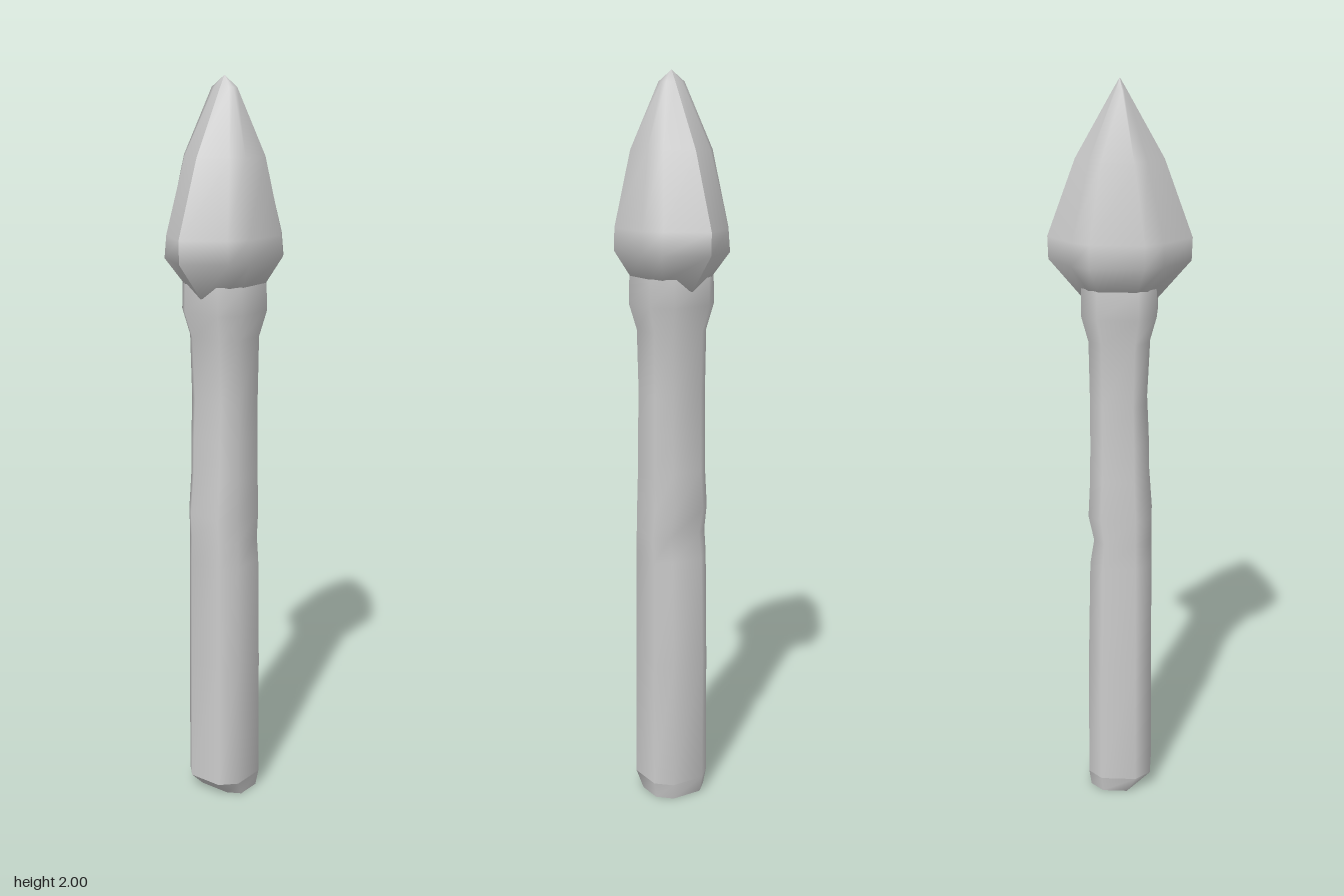
import * as THREE from 'three';

// Skin rows of points (bottom to top, each running +x -> +z -> -x) with smooth normals.
function loft(rows, closed) {
  const n = rows[0].length;
  const index = [];
  for (let i = 0; i < rows.length - 1; i++) {
    for (let j = 0; j < (closed ? n : n - 1); j++) {
      const k = (j + 1) % n;
      const a = i * n + j, b = i * n + k, c = a + n, d = b + n;
      index.push(a, c, b, b, c, d);
    }
  }
  const g = new THREE.BufferGeometry();
  g.setAttribute('position', new THREE.Float32BufferAttribute(rows.flat(2), 3));
  g.setIndex(index);
  g.computeVertexNormals();
  return g;
}

// Worn eight-sided section, a little square, with separate left and right extents.
function shaftRow([y, xNeg, xPos, z, zOff = 0]) {
  const corners = [[1, 0.55], [0.55, 1], [-0.55, 1], [-1, 0.55], [-1, -0.55], [-0.55, -1], [0.55, -1], [1, -0.55]];
  return corners.map(([u, v]) => [u * (u > 0 ? xPos : xNeg), y, v * z + zOff]);
}

// Half of the point's section: sharp edges on +-x, rounded front.
function headRow([y, edge, mx, mz, fx, fz, edgeY = y]) {
  return [[edge, edgeY, 0], [mx, y, mz], [fx, y, fz], [-fx, y, fz], [-mx, y, mz], [-edge, edgeY, 0]];
}

export function createModel() {
  const group = new THREE.Group();
  const material = new THREE.MeshStandardMaterial({ color: 0xcccccc });
  const add = (name, geometry, parent = group) => {
    const mesh = new THREE.Mesh(geometry, material);
    mesh.name = name;
    parent.add(mesh);
    return mesh;
  };

  // Shaft with uneven wear, flaring into a collar below the point
  const profile = [
    [0.045, 0.09, 0.086, 0.088],
    [0.4, 0.088, 0.085, 0.087],
    [0.7, 0.087, 0.079, 0.085],
    [0.77, 0.086, 0.068, 0.084],
    [0.84, 0.087, 0.083, 0.084, -0.002],
    [0.95, 0.079, 0.078, 0.081],
    [1.05, 0.077, 0.077, 0.081],
    [1.16, 0.072, 0.077, 0.08],
    [1.33, 0.08, 0.08, 0.082],
    [1.4, 0.099, 0.098, 0.1],
    [1.475, 0.098, 0.098, 0.098],
  ];
  add('shaft', loft(profile.map(shaftRow), true));

  // Foot bevel, cut more on one side, and its flat sole
  const sole = shaftRow([0, 0.045, 0.08, 0.08]);
  add('footBevel', loft([sole, shaftRow(profile[0])], true));
  add('footSole', loft([sole.map(() => [0.015, 0, 0]), sole], true));

  // Point: two mirrored halves meeting in a sharp edge
  const rows = [
    [1.47, 0, 0, 0, 0, 0],
    [1.47, 0.1, 0.075, 0.075, 0.05, 0.096, 1.44],
    [1.54, 0.187, 0.119, 0.105, 0.07, 0.135],
    [1.6, 0.189, 0.117, 0.1, 0.07, 0.133],
    [1.8, 0.115, 0.074, 0.072, 0.042, 0.1],
    [1.97, 0.018, 0.012, 0.024, 0.008, 0.035],
    [2.0, 0, 0, 0, 0, 0],
  ];
  const halfGeometry = loft(rows.map(headRow), false);
  const head = new THREE.Group();
  head.name = 'spearPoint';
  group.add(head);
  add('pointFront', halfGeometry, head);
  add('pointBack', halfGeometry, head).rotation.y = Math.PI;

  return group;
}
